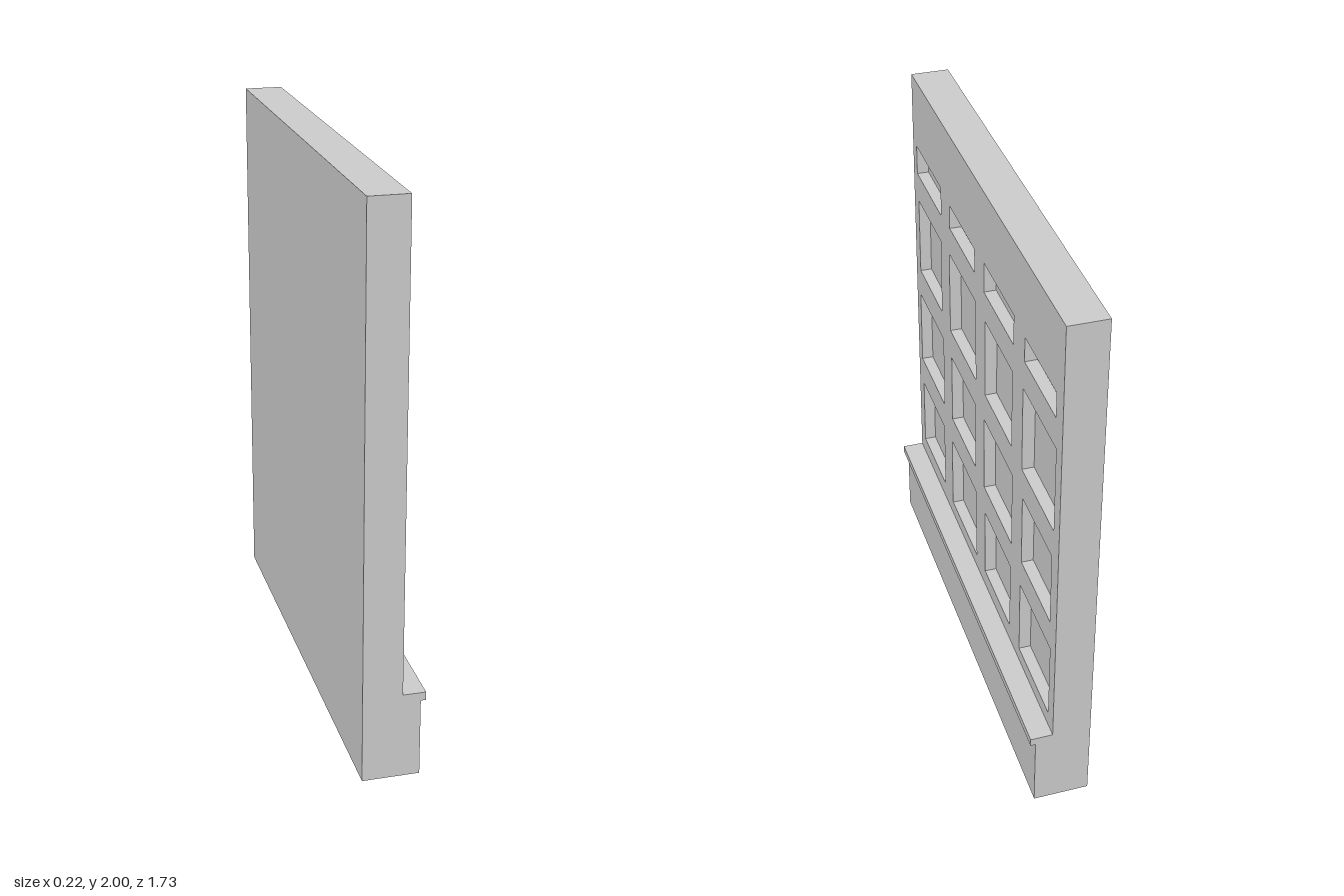
import * as THREE from 'three';
import { mergeGeometries } from 'three/addons/utils/BufferGeometryUtils.js';

const BACK = -0.11, FACE = 0.028, PLINTH = 0.09, LEDGE = 0.108;
const HALF = 0.865, TOP = 2, LEDGE_TOP = 0.31, LEDGE_LOW = 0.28, RECESS = 0.043;

const material = new THREE.MeshStandardMaterial({ color: 0xcccccc, side: THREE.DoubleSide });

// Flat four-cornered face, corners counter-clockwise seen from outside
function quad(a, b, c, d) {
  const g = new THREE.BufferGeometry();
  g.setAttribute('position', new THREE.Float32BufferAttribute([a, b, c, a, c, d].flat(), 3));
  g.computeVertexNormals();
  return g;
}

// Face running the full length of the wall between two profile points
function strip([px, py], [qx, qy]) {
  return quad([px, py, -HALF], [px, py, HALF], [qx, qy, HALF], [qx, qy, -HALF]);
}

function polygon(points) {
  return new THREE.Shape(points.map(([x, y]) => new THREE.Vector2(x, y)));
}

// Corners of a rectangle as [z, y], counter-clockwise seen from +x
function rectangle(z, y, halfZ, halfY) {
  return [[z + halfZ, y - halfY], [z - halfZ, y - halfY], [z - halfZ, y + halfY], [z + halfZ, y + halfY]];
}

export function createModel() {
  const group = new THREE.Group();
  const add = (name, geometry) => {
    const mesh = new THREE.Mesh(geometry, material);
    mesh.name = name;
    group.add(mesh);
  };

  // Recess layout: large and slightly smaller recesses alternate
  const columns = [0.652, 0.219, -0.212, -0.646];
  const rows = [[1.676, 0.057], [1.354, 0.165], [0.931, 0.154], [0.519, 0.154]];
  const recesses = [];
  rows.forEach(([y, halfY], r) => columns.forEach((z, c) => {
    const inset = (r + c) % 2 ? 0.011 : 0;
    recesses.push(rectangle(z, y, 0.165 - inset, halfY - inset));
  }));

  // Panelled face with an opening for each recess
  const face = polygon([[-HALF, LEDGE_TOP], [HALF, LEDGE_TOP], [HALF, TOP], [-HALF, TOP]]);
  face.holes = recesses.map((corners) => polygon(corners.map(([z, y]) => [-z, y])));
  add('panelledFace', new THREE.ShapeGeometry(face).rotateY(Math.PI / 2).translate(FACE, 0, 0));

  // Four walls and the floor of every recess
  for (const corners of recesses) {
    const front = corners.map(([z, y]) => [FACE, y, z]);
    const floor = corners.map(([z, y]) => [FACE - RECESS, y, z]);
    const sides = front.map((p, i) => {
      const j = (i + 1) % 4;
      return quad(p, front[j], floor[j], floor[i]);
    });
    add('recess', mergeGeometries([...sides, quad(...floor)]));
  }

  // Wall back and top, then ledge and plinth; the underside is open
  const profile = [
    [BACK, 0], [BACK, TOP], [FACE, TOP], [FACE, LEDGE_TOP], [LEDGE, LEDGE_TOP],
    [LEDGE, LEDGE_LOW], [PLINTH, LEDGE_LOW], [PLINTH, 0],
  ];
  const run = (from, to) => mergeGeometries(
    profile.slice(from, to).map((p, i) => strip(p, profile[from + i + 1])));
  add('wallBackAndTop', run(0, 2));
  add('ledge', run(3, 6));
  add('plinth', run(6, 7));

  // Closed ends following the profile
  add('leftEnd', new THREE.ShapeGeometry(polygon(profile)).translate(0, 0, HALF));
  const mirrored = polygon(profile.map(([x, y]) => [-x, y]));
  add('rightEnd', new THREE.ShapeGeometry(mirrored).rotateY(Math.PI).translate(0, 0, -HALF));

  return group;
}
